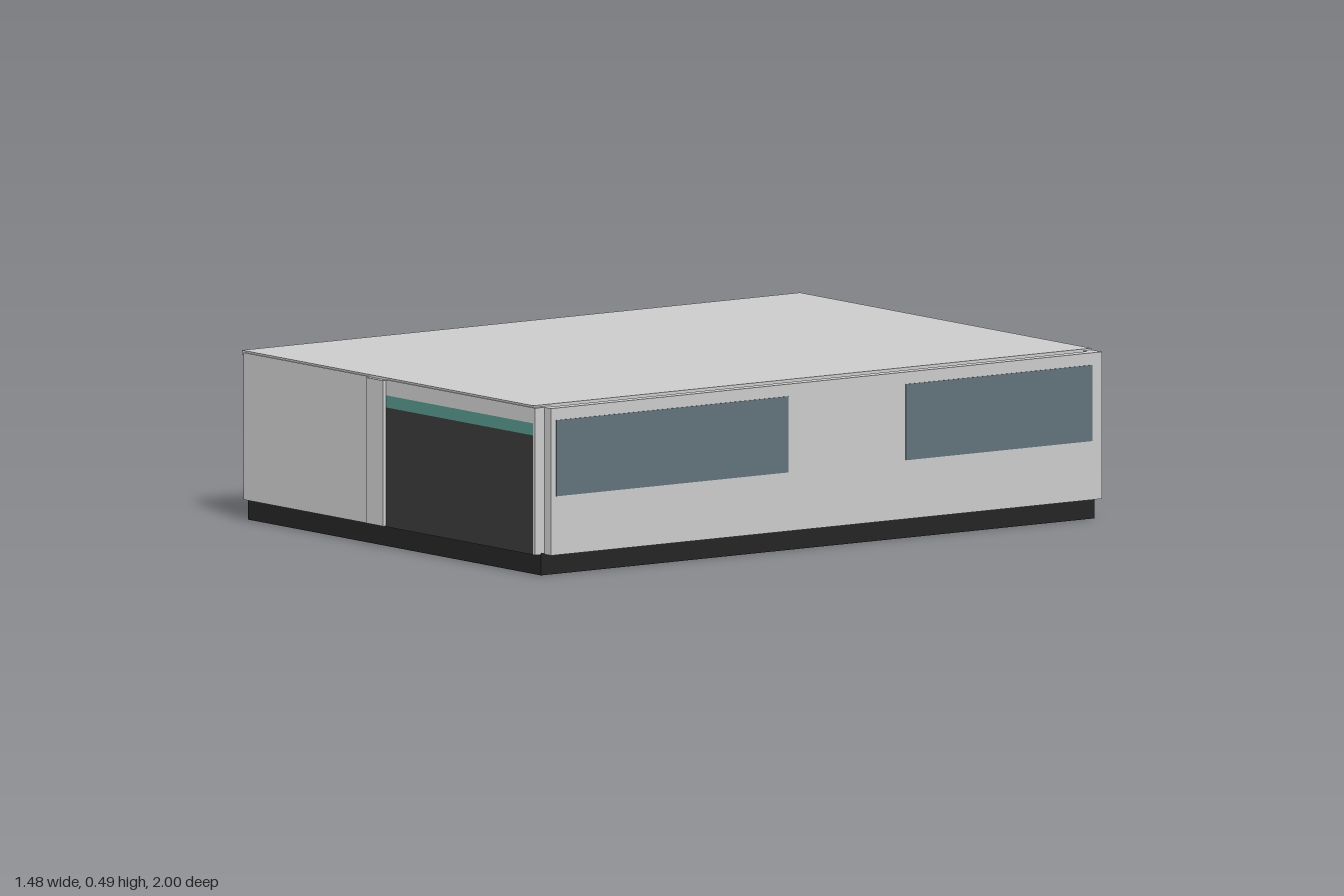
import * as THREE from 'three';

const COLORS = { wall: 0xcccccc, base: 0x242424, screen: 0x3a3a3a, trim: 0x55968c, glass: 0x62737c };

export function createModel() {
  const model = new THREE.Group();
  model.name = 'building';
  const materials = {};
  for (const key in COLORS) materials[key] = new THREE.MeshStandardMaterial({ color: COLORS[key] });

  // box given by its extents on each axis
  const box = (name, material, [x0, x1], [y0, y1], [z0, z1]) => {
    const mesh = new THREE.Mesh(new THREE.BoxGeometry(x1 - x0, y1 - y0, z1 - z0), materials[material]);
    mesh.position.set((x0 + x1) / 2, (y0 + y1) / 2, (z0 + z1) / 2);
    mesh.name = name;
    model.add(mesh);
  };

  const wallY = [0.06, 0.485];

  // plinth, which is also the floor
  box('plinth', 'base', [-0.71, 0.705], [0, 0.064], [-0.997, 0.97]);

  // side and back walls
  box('leftWall', 'wall', [0.705, 0.737], wallY, [-1, 0.958]);
  box('rightWall', 'wall', [-0.737, -0.705], wallY, [-1, 0.958]);
  box('backWall', 'wall', [-0.705, 0.705], wallY, [-1, -0.97]);

  // roof slab, leaving a narrow slot beside the left wall
  box('roof', 'wall', [-0.72, 0.688], [0.478, 0.49], [-0.998, 0.985]);

  // front: solid panel, pilaster and framed opening
  box('frontPanel', 'wall', [-0.705, -0.1], wallY, [0.958, 0.99]);
  box('pilaster', 'wall', [-0.1, -0.017], [0.062, 0.483], [0.955, 1]);
  box('header', 'wall', [-0.017, 0.702], [0.44, 0.485], [0.935, 0.99]);
  box('trimBand', 'trim', [-0.017, 0.702], [0.405, 0.44], [0.955, 0.99]);
  box('frontScreen', 'screen', [-0.017, 0.702], [0.06, 0.405], [0.955, 0.99]);

  // corner post closing the front edge
  box('cornerPost', 'wall', [0.695, 0.7045], wallY, [0.93, 0.991]);

  // windows on the left wall
  for (const z of [[0.115, 0.94], [-0.965, -0.302]]) {
    box('window', 'glass', [0.72, 0.739], [0.23, 0.45], z);
  }
  return model;
}
